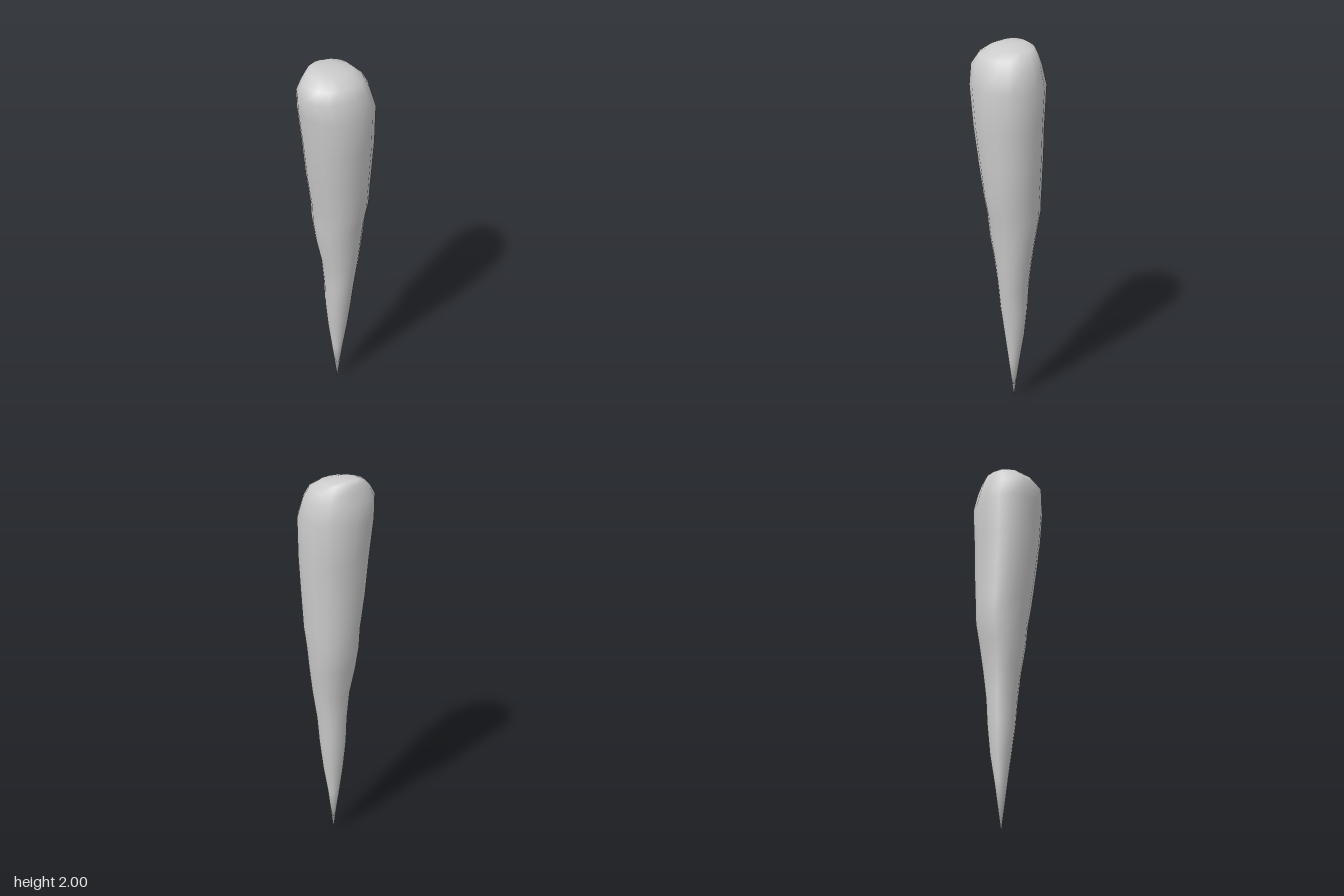
import * as THREE from 'three';

// Cross-sections from the tip upwards: [y, xMin, xMax, zMin, zMax]
const SECTIONS = [
  [0.25, -0.055, 0.012, -0.06, 0.0],
  [0.4, -0.075, 0.033, -0.085, 0.02],
  [0.56, -0.088, 0.055, -0.102, 0.038],
  [0.7, -0.095, 0.073, -0.11, 0.043],
  [0.85, -0.105, 0.09, -0.132, 0.06],
  [1.0, -0.13, 0.108, -0.15, 0.09],
  [1.12, -0.154, 0.122, -0.162, 0.1],
  [1.22, -0.155, 0.143, -0.17, 0.11],
  [1.4, -0.163, 0.157, -0.18, 0.14],
  [1.6, -0.168, 0.174, -0.188, 0.165],
  [1.8, -0.183, 0.181, -0.192, 0.187],
  [1.9, -0.165, 0.152, -0.168, 0.195],
  [1.95, -0.152, 0.122, -0.142, 0.162],
  [1.985, -0.14, 0.062, -0.105, 0.12],
  [2.0, -0.122, 0.0, -0.04, 0.08],
];
const SIDES = 16;

// Slightly squared circle, so the rings are a little fuller than ellipses
const soften = (v) => Math.sign(v) * Math.pow(Math.abs(v), 0.94);

function loftGeometry() {
  const positions = [-0.02, 0, -0.03];
  for (const [y, x0, x1, z0, z1] of SECTIONS) {
    for (let i = 0; i < SIDES; i++) {
      const a = (i / SIDES) * Math.PI * 2;
      positions.push(
        (x0 + x1) / 2 + ((x1 - x0) / 2) * soften(Math.cos(a)),
        y,
        (z0 + z1) / 2 + ((z1 - z0) / 2) * soften(Math.sin(a))
      );
    }
  }
  const top = positions.length / 3;
  positions.push(-0.06, 2, 0.02);

  const at = (ring, i) => 1 + ring * SIDES + (i % SIDES);
  const last = SECTIONS.length - 1;
  const index = [];
  for (let i = 0; i < SIDES; i++) {
    index.push(0, at(0, i), at(0, i + 1)); // pointed tip
    for (let r = 0; r < last; r++) {
      const a = at(r, i), b = at(r, i + 1), c = at(r + 1, i), d = at(r + 1, i + 1);
      index.push(a, c, b, b, c, d);
    }
    index.push(top, at(last, i + 1), at(last, i)); // blunt top
  }

  const geometry = new THREE.BufferGeometry();
  geometry.setAttribute('position', new THREE.Float32BufferAttribute(positions, 3));
  geometry.setIndex(index);
  geometry.computeVertexNormals();
  return geometry;
}

export function createModel() {
  const group = new THREE.Group();
  group.name = 'icicle';
  const spike = new THREE.Mesh(loftGeometry(), new THREE.MeshStandardMaterial({ color: 0xcccccc }));
  spike.name = 'taperedSpike';
  group.add(spike);
  return group;
}
